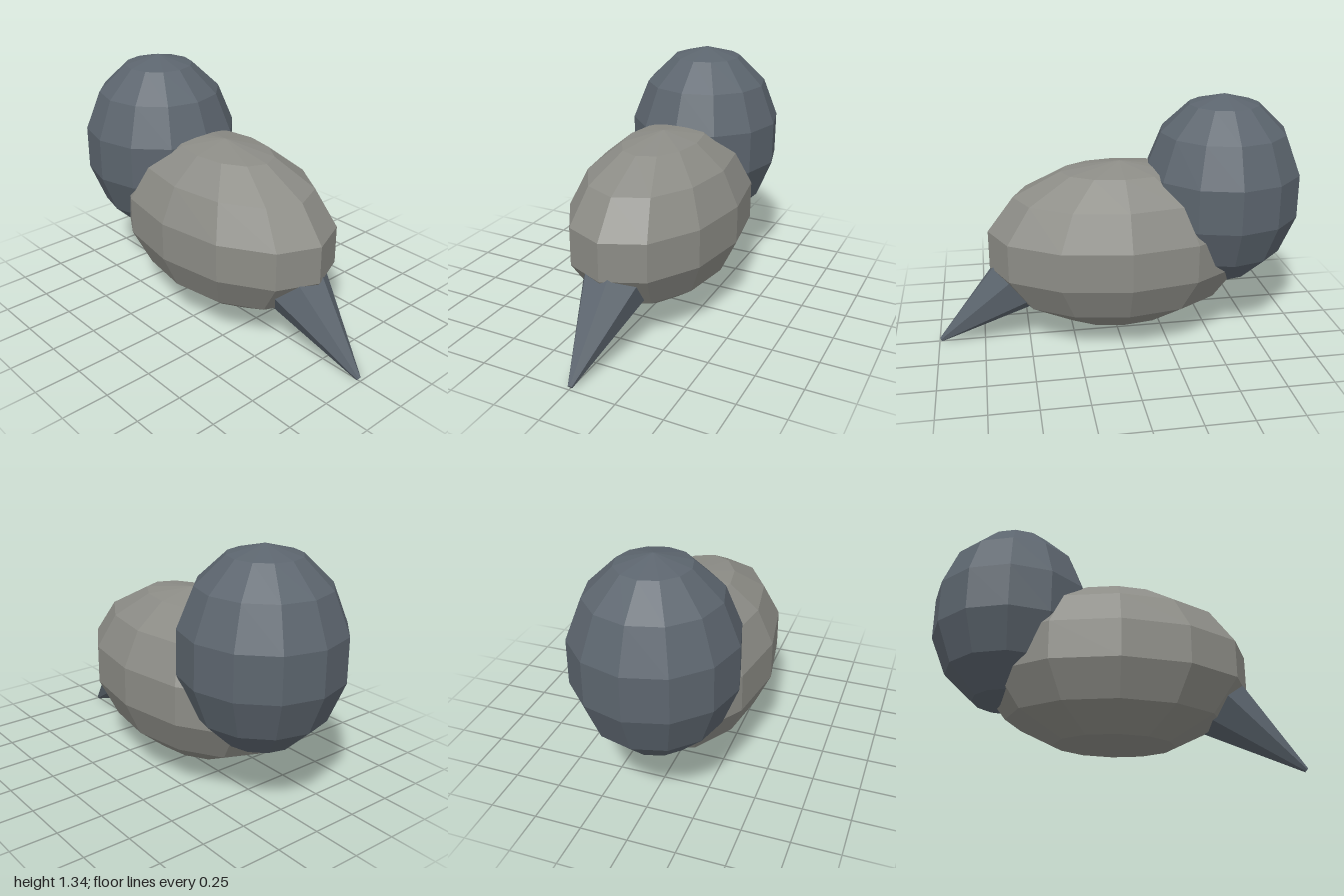
import * as THREE from 'three';

const material = (color) => new THREE.MeshStandardMaterial({ color, flatShading: true });

// Faceted ellipsoid given by its three radii and its centre
function ellipsoid(name, radii, centre, mat) {
  const geometry = new THREE.SphereGeometry(1, 12, 7);
  geometry.scale(...radii);
  const mesh = new THREE.Mesh(geometry, mat);
  mesh.name = name;
  mesh.position.set(...centre);
  return mesh;
}

export function createModel() {
  const group = new THREE.Group();
  group.name = 'bird';
  const pale = material(0x8c8c86);
  const slate = material(0x5c656e);

  // Pale head, long towards the front
  group.add(ellipsoid('head', [0.446, 0.465, 0.73], [0, 0.535, -0.01], pale));

  // Dark rounded mass behind and above it
  group.add(ellipsoid('body', [0.431, 0.525, 0.436], [0, 0.815, -0.572], slate));

  // Seven-sided beak, sloping forward and down to a blunt tip
  const length = 0.6;
  const direction = new THREE.Vector3(0, -0.61, 0.79).normalize();
  const beak = new THREE.Mesh(
    new THREE.CylinderGeometry(0.013, 0.19, length, 7, 1, false, 0.2), slate);
  beak.name = 'beak';
  beak.rotation.x = Math.atan2(direction.z, direction.y);
  beak.position.set(0, 0.01, 0.99).addScaledVector(direction, -length / 2);
  group.add(beak);

  return group;
}
